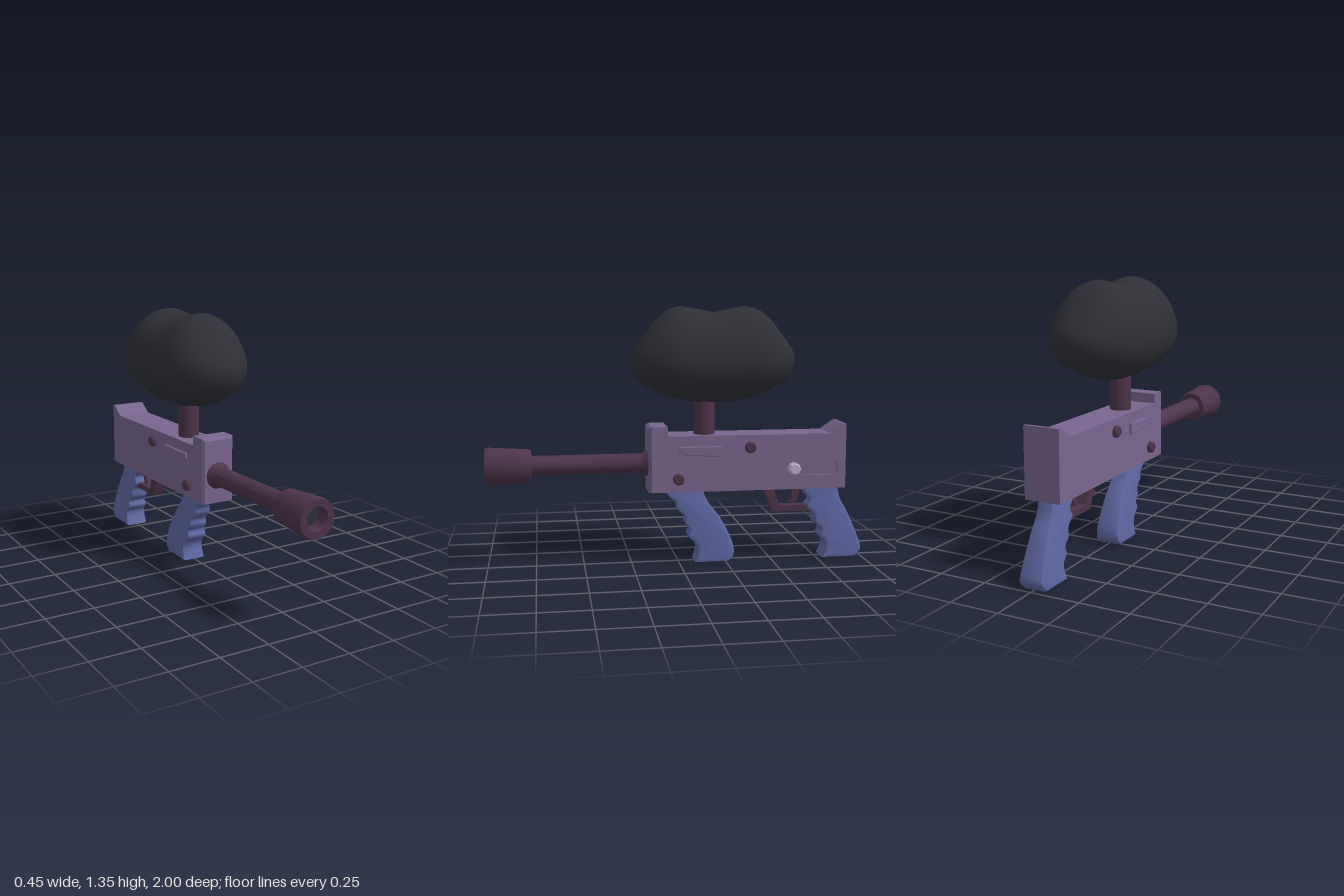
import * as THREE from 'three';
import { toCreasedNormals } from 'three/addons/utils/BufferGeometryUtils.js';

const mat = (name, color) => {
  const m = new THREE.MeshStandardMaterial({ color });
  m.name = name;
  return m;
};
const v2 = (pts) => pts.map(([a, b]) => new THREE.Vector2(a, b));

export function createModel() {
  const model = new THREE.Group();
  const purple = mat('dusty purple', 0x78658f);
  const plum = mat('dark plum', 0x4c344a);
  const blue = mat('grip blue', 0x5f68a3);
  const black = mat('charcoal', 0x2e3036);
  const lilac = mat('pale lilac', 0xbba9d0);

  const add = (name, geo, material) => {
    const mesh = new THREE.Mesh(geo, material);
    mesh.name = name;
    model.add(mesh);
    return mesh;
  };
  // Side outline in (z, y), extruded across x between x0 and x1
  const across = (shape, x0, x1, bevel = 0, curveSegments = 8) => {
    const geo = new THREE.ExtrudeGeometry(shape, {
      depth: x1 - x0 - 2 * bevel, bevelEnabled: bevel > 0, bevelThickness: bevel,
      bevelSize: bevel, bevelOffset: -bevel, bevelSegments: 2, curveSegments,
    });
    return geo.rotateY(-Math.PI / 2).translate(x1 - bevel, 0, 0);
  };
  const poly = (pts) => new THREE.Shape(v2(pts));

  // Receiver: solid core plus an outer slab with a recessed slot on the left
  const outline = [[0.15, 0.39], [0.15, 0.735], [0.065, 0.735], [0.065, 0.685],
    [-0.8, 0.685], [-0.87, 0.735], [-0.89, 0.735], [-0.89, 0.39]];
  add('receiver', across(poly(outline), -0.093, 0.073), purple);
  const slab = poly(outline);
  slab.holes.push(new THREE.Path(v2([[-0.65, 0.463], [-0.65, 0.547], [-0.825, 0.547],
    [-0.84, 0.533], [-0.846, 0.505], [-0.84, 0.477], [-0.825, 0.463]])));
  add('slottedSide', across(slab, 0.073, 0.093), purple);

  // Chamfered front plate
  const plate = new THREE.BoxGeometry(0.186, 0.345, 0.015).translate(0, 0.5625, 0.1575);
  const pp = plate.attributes.position;
  for (let i = 0; i < pp.count; i++) {
    if (pp.getZ(i) < 0.16) continue;
    pp.setX(i, pp.getX(i) * 0.85);
    if (pp.getY(i) > 0.6) pp.setY(i, 0.722);
  }
  plate.computeVertexNormals();
  add('frontPlate', plate, purple);

  // Raised side panels and bolts, mirrored
  for (const s of [1, -1]) {
    const panel = poly([[0.005, 0.63], [0.005, 0.603], [-0.03, 0.587], [-0.215, 0.573],
      [-0.22, 0.58], [-0.22, 0.63]]);
    add('sidePanel', across(panel, s > 0 ? 0.088 : -0.106, s > 0 ? 0.106 : -0.088, 0.004), purple);
    for (const [z, y] of [[-0.37, 0.62], [0.01, 0.46]]) {
      const bolt = new THREE.LatheGeometry(
        v2([[0.03, 0], [0.03, 0.026], [0.022, 0.034], [0, 0.034]]), 12);
      add('bolt', toCreasedNormals(bolt.rotateZ(-s * Math.PI / 2), 0.6), plum)
        .position.set(s * 0.083, y, z);
    }
  }

  // Cocking knob
  const knob = new THREE.LatheGeometry(
    v2([[0.022, 0], [0.022, 0.03], [0.033, 0.03], [0.033, 0.066], [0.026, 0.073], [0, 0.073]]), 8);
  add('cockingKnob', toCreasedNormals(knob.rotateZ(-Math.PI / 2), 0.5), lilac)
    .position.set(0.075, 0.505, -0.6);

  // Barrel with collar, flared muzzle and hollow bore
  const barrel = new THREE.LatheGeometry(v2([[0.07, 0.15], [0.07, 0.165], [0.051, 0.195],
    [0.051, 0.765], [0.078, 0.765], [0.086, 0.78], [0.099, 0.985], [0.094, 1],
    [0.058, 1], [0.052, 0.99], [0.052, 0.93]]), 28);
  add('barrel', toCreasedNormals(barrel.rotateX(Math.PI / 2), 0.45), plum).position.y = 0.535;
  add('bore', new THREE.CircleGeometry(0.053, 28), black).position.set(0, 0.535, 0.935);

  // Feed neck
  add('feedNeck', new THREE.CylinderGeometry(0.055, 0.055, 0.24, 24), plum)
    .position.set(0, 0.79, -0.14);

  // Hopper: oval rings along z; half profile of [u, half width, top, bottom]
  const half = [[0.425, 0.06, 1.115, 1.03], [0.405, 0.11, 1.15, 0.985], [0.37, 0.155, 1.195, 0.95],
    [0.31, 0.197, 1.275, 0.917], [0.255, 0.217, 1.325, 0.893], [0.21, 0.224, 1.346, 0.88],
    [0.165, 0.225, 1.353, 0.867], [0.085, 0.225, 1.337, 0.854]];
  const rings = [[0.436, 0, 1.075, 1.075], ...half, [0, 0.225, 1.32, 0.85],
    ...half.map(([u, ...r]) => [-u, ...r]).reverse(), [-0.436, 0, 1.075, 1.075]];
  const SEG = 32, pos = [], idx = [];
  rings.forEach(([u, w, top, bottom], r) => {
    for (let k = 0; k < SEG; k++) {
      const a = (k / SEG) * Math.PI * 2, s = Math.sin(a);
      pos.push(w * Math.cos(a), 1.075 + s * (s > 0 ? top - 1.075 : 1.075 - bottom), u - 0.185);
      if (r === rings.length - 1) continue;
      const p = r * SEG + k, q = r * SEG + (k + 1) % SEG;
      if (r < rings.length - 2) idx.push(p, p + SEG, q + SEG);
      if (r > 0) idx.push(p, q + SEG, q);
    }
  });
  const hopper = new THREE.BufferGeometry();
  hopper.setAttribute('position', new THREE.Float32BufferAttribute(pos, 3));
  hopper.setIndex(idx);
  hopper.computeVertexNormals();
  // Pole normals point straight along z
  const n = hopper.attributes.normal;
  for (let k = 0; k < SEG; k++) {
    n.setXYZ(k, 0, 0, 1);
    n.setXYZ(n.count - 1 - k, 0, 0, -1);
  }
  add('hopper', hopper, black);

  // Grips with finger grooves, wider towards the base
  const grip = (name, front, back) => {
    const shape = new THREE.Shape();
    shape.moveTo(...front[0]);
    shape.splineThru(v2(front.slice(1)));
    shape.lineTo(...back[0]);
    shape.splineThru(v2(back.slice(1)));
    const geo = across(shape, -0.068, 0.068, 0.016, 4);
    const p = geo.attributes.position;
    for (let i = 0; i < p.count; i++) p.setX(i, p.getX(i) * (1 - 1.05 * p.getY(i)));
    add(name, toCreasedNormals(geo, 0.7), blue);
  };
  grip('frontGrip',
    [[0.065, 0.41], [0.055, 0.36], [0.015, 0.325], [0.005, 0.285], [-0.035, 0.245],
      [-0.035, 0.21], [-0.06, 0.175], [-0.05, 0.14], [-0.09, 0.1], [-0.1, 0.06], [-0.085, 0]],
    [[-0.26, 0], [-0.292, 0.03], [-0.288, 0.1], [-0.225, 0.23], [-0.155, 0.325], [-0.12, 0.41]]);
  grip('rearGrip',
    [[-0.7, 0.41], [-0.685, 0.36], [-0.715, 0.32], [-0.697, 0.28], [-0.738, 0.24],
      [-0.745, 0.19], [-0.78, 0.155], [-0.77, 0.12], [-0.8, 0.085], [-0.8, 0.05], [-0.782, 0]],
    [[-0.965, 0], [-0.999, 0.04], [-0.985, 0.1], [-0.93, 0.23], [-0.88, 0.325], [-0.865, 0.41]]);

  // Trigger guard and trigger
  add('triggerGuard', across(poly([[-0.452, 0.4], [-0.51, 0.257], [-0.72, 0.257], [-0.72, 0.288],
    [-0.55, 0.288], [-0.508, 0.4]]), -0.03, 0.03), plum);
  const trigger = new THREE.Shape();
  trigger.moveTo(-0.61, 0.4);
  trigger.quadraticCurveTo(-0.635, 0.33, -0.598, 0.3);
  trigger.lineTo(-0.63, 0.3);
  trigger.quadraticCurveTo(-0.665, 0.33, -0.66, 0.4);
  add('trigger', across(trigger, -0.018, 0.018), plum);

  return model;
}
